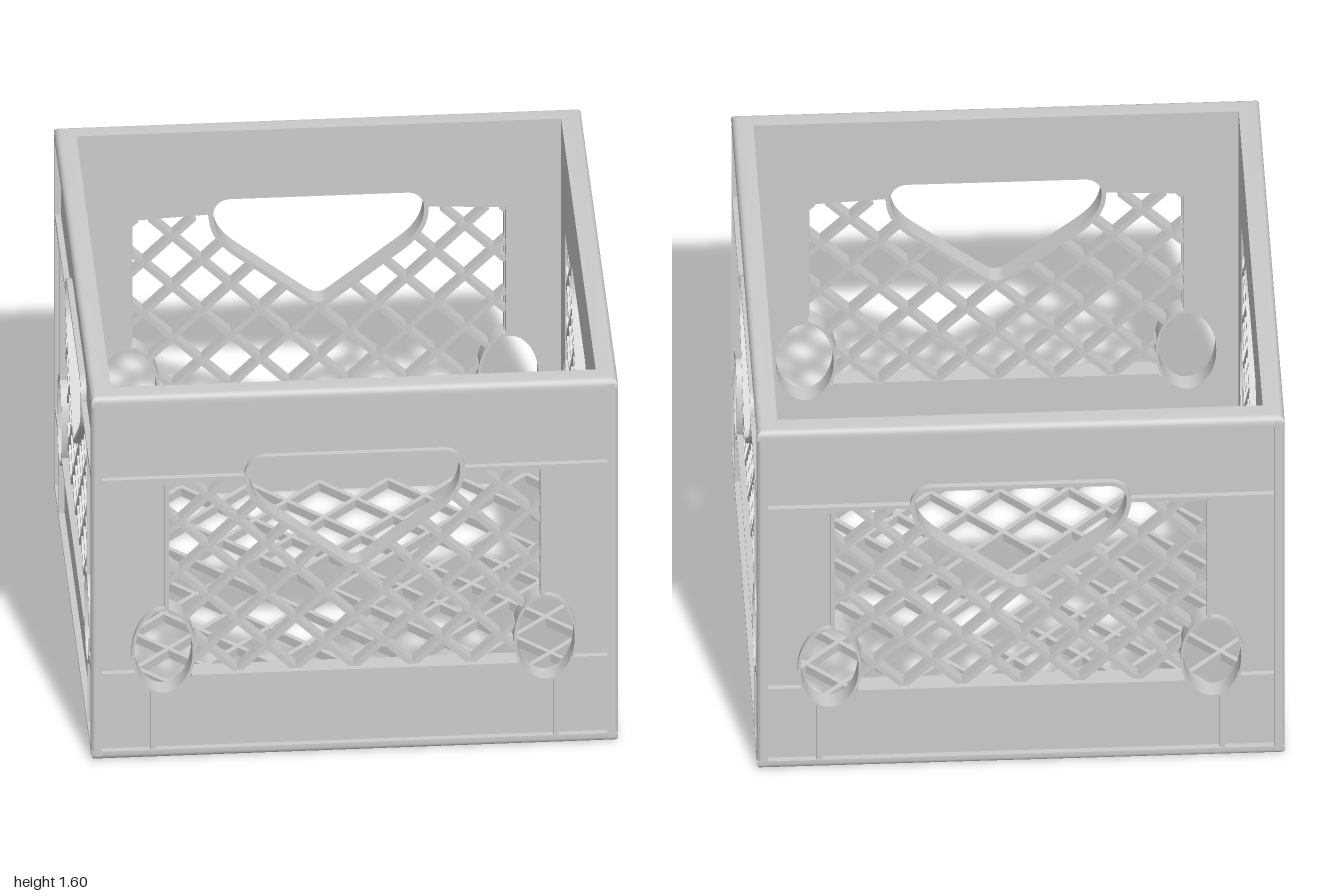
import * as THREE from 'three';
import { mergeGeometries, toCreasedNormals } from 'three/addons/utils/BufferGeometryUtils.js';

const H = 1.603, INNER = 0.92, PANEL = 0.976, OUTER = 0.998;
const ELL = { x: 0.725, y: 0.47, rx: 0.11, ry: 0.18 };
const WIN = { x: 0.71, y0: 0.358, y1: 1.22 };
const material = new THREE.MeshStandardMaterial({ color: 0xcccccc });

function add(parent, geometry, name) {
  const mesh = new THREE.Mesh(geometry, material);
  mesh.name = name;
  parent.add(mesh);
}

// Extrudes a counter-clockwise shape from depth z0 to z1
function slab(shape, z0, z1) {
  const geo = new THREE.ExtrudeGeometry(shape, { depth: z1 - z0, bevelEnabled: false, curveSegments: 32 });
  return toCreasedNormals(geo.translate(0, 0, z0), 0.5);
}

function box(x0, x1, y0, y1, z0 = PANEL - 0.02, z1 = OUTER) {
  return new THREE.BoxGeometry(x1 - x0, y1 - y0, z1 - z0)
    .translate((x0 + x1) / 2, (y0 + y1) / 2, (z0 + z1) / 2);
}

// Hand hole outline, clockwise from the top left
function handlePoints() {
  const p = new THREE.Path();
  p.moveTo(-0.335, 1.3);
  p.lineTo(0.335, 1.3);
  p.bezierCurveTo(0.375, 1.3, 0.4, 1.27, 0.4, 1.235);
  p.bezierCurveTo(0.4, 1.16, 0.37, 1.11, 0.3, 1.055);
  p.lineTo(0.04, 0.848);
  p.quadraticCurveTo(0, 0.816, -0.04, 0.848);
  p.lineTo(-0.3, 1.055);
  p.bezierCurveTo(-0.37, 1.11, -0.4, 1.16, -0.4, 1.235);
  p.bezierCurveTo(-0.4, 1.27, -0.375, 1.3, -0.335, 1.3);
  const pts = p.getPoints(10);
  pts.pop();
  return pts;
}

// Moves a clockwise outline outwards
function offset(pts, d) {
  return pts.map((p, i) => {
    const a = pts[(i + pts.length - 1) % pts.length], b = pts[(i + 1) % pts.length];
    const t = p.clone().sub(a).normalize().add(b.clone().sub(p).normalize()).normalize();
    return new THREE.Vector2(p.x - t.y * d, p.y + t.x * d);
  });
}

function contains(poly, x, y) {
  let inside = false;
  poly.forEach((a, i) => {
    const b = poly[(i + 1) % poly.length];
    if ((a.y > y) !== (b.y > y) && x < a.x + (b.x - a.x) * (y - a.y) / (b.y - a.y)) inside = !inside;
  });
  return inside;
}

// Diagonal bars through the nodes (0, nodeY + k * pitch), cut to the area where test is true
function lattice(pitch, nodeY, width, z0, z1, test) {
  const bars = [], step = 0.004;
  for (const s of [1, -1]) {
    for (let k = -12; k <= 12; k++) {
      let start = null;
      for (let x = -1; x <= 1; x += step) {
        const y = nodeY + k * pitch + s * x;
        const inside = test(x, y);
        if (inside && start === null) start = x;
        if (!inside && start !== null) {
          const length = (x - start) * Math.SQRT2, mid = (x + start) / 2;
          if (length > 0.02) {
            bars.push(new THREE.BoxGeometry(length, width, z1 - z0)
              .rotateZ(s * Math.PI / 4)
              .translate(mid, nodeY + k * pitch + s * mid, (z0 + z1) / 2));
          }
          start = null;
        }
      }
    }
  }
  return mergeGeometries(bars);
}

// Square ring with mitred corners, its profile given as [half width, height]
function squareRing(profile) {
  const pts = profile.map(([r, y]) => new THREE.Vector2(r * Math.SQRT2, y));
  return toCreasedNormals(new THREE.LatheGeometry(pts, 4, Math.PI / 4), 0.6);
}

function createWall() {
  const wall = new THREE.Group();
  const hole = handlePoints(), ringEdge = offset(hole, 0.018);

  // Sheet with one opening for the window, hand hole and corner ovals
  const sheet = new THREE.Shape();
  sheet.moveTo(-0.965, 0.01).lineTo(0.965, 0.01).lineTo(0.965, H - 0.02).lineTo(-0.965, H - 0.02);
  const opening = new THREE.Path();
  const rx = ELL.rx + 0.005, ry = ELL.ry + 0.005;
  opening.moveTo(-0.631, 0.355);
  opening.lineTo(0.631, 0.355);
  opening.absellipse(ELL.x, ELL.y, rx, ry, -2.47, 1.696, false);
  opening.lineTo(WIN.x, WIN.y1);
  ringEdge.filter(p => p.y > WIN.y1)
    .sort((a, b) => Math.atan2(a.y - 1.1, a.x) - Math.atan2(b.y - 1.1, b.x))
    .forEach(p => opening.lineTo(p.x, p.y));
  opening.lineTo(-WIN.x, WIN.y1);
  opening.absellipse(-ELL.x, ELL.y, rx, ry, Math.PI - 1.696, Math.PI + 2.47, false);
  sheet.holes.push(opening);
  add(wall, slab(sheet, INNER, PANEL), 'wallPanel');

  // Collar around the hand hole
  const ring = new THREE.Shape([...ringEdge].reverse());
  ring.holes.push(new THREE.Path(hole));
  add(wall, slab(ring, INNER, OUTER), 'handleCollar');

  // Collars around the corner ovals
  for (const side of [-1, 1]) {
    const oval = new THREE.Shape();
    oval.absellipse(side * ELL.x, ELL.y, ELL.rx + 0.011, ELL.ry + 0.011, 0, Math.PI * 2);
    const cut = new THREE.Path();
    cut.absellipse(side * ELL.x, ELL.y, ELL.rx, ELL.ry, 0, Math.PI * 2);
    oval.holes.push(cut);
    add(wall, slab(oval, INNER, OUTER), 'ovalCollar');
  }

  // Raised ribs, mirrored left and right
  const ribs = [box(-0.62, 0.62, 0.35, 0.364, INNER)];
  for (const [x0, x1, y0, y1] of [
    [0.41, 0.722, 1.22, 1.237], [0.705, 0.97, 1.21, 1.237], [0.705, 0.722, 0.65, 1.222],
    [0.82, 0.97, 0.357, 0.382], [0.754, 0.776, 0.03, 0.295],
  ]) ribs.push(box(x0, x1, y0, y1), box(-x1, -x0, y0, y1));
  add(wall, mergeGeometries(ribs), 'wallRibs');

  // Diagonal grille
  const cutout = offset(hole, 0.012);
  const inWindow = (x, y) => Math.abs(x) < WIN.x && y > WIN.y0 && y < WIN.y1 &&
    ((Math.abs(x) - ELL.x) / (ELL.rx + 0.01)) ** 2 + ((y - ELL.y) / (ELL.ry + 0.01)) ** 2 > 1 &&
    !contains(cutout, x, y);
  add(wall, lattice(0.222, 0.358, 0.021, INNER + 0.003, PANEL, inWindow), 'wallGrille');

  // Corner post with a rounded outer edge
  const post = new THREE.Shape();
  post.moveTo(0.96, -0.96).lineTo(0.96, -1).lineTo(0.982, -1);
  post.absarc(0.982, -0.982, 0.018, -Math.PI / 2, 0, false);
  post.lineTo(1, -0.96);
  add(wall, slab(post, 0.02, H - 0.02).rotateX(-Math.PI / 2), 'cornerPost');
  return wall;
}

export function createModel() {
  const crate = new THREE.Group();
  crate.name = 'crate';
  const wall = createWall();
  ['frontWall', 'leftWall', 'backWall', 'rightWall'].forEach((name, i) => {
    const w = wall.clone();
    w.name = name;
    w.rotation.y = i * Math.PI / 2;
    crate.add(w);
  });

  // Top and bottom rims, rounded on the outside
  const r = 0.025;
  const arc = [0, 1, 2, 3, 4].map(i => i * Math.PI / 8)
    .map(a => [1 - r + r * Math.cos(a), H - r + r * Math.sin(a)]);
  const topProfile = [[0.95, H - 0.04], [1, H - 0.04], ...arc, [INNER, H], [INNER, H - 0.04]];
  add(crate, squareRing(topProfile), 'topRim');
  add(crate, squareRing(topProfile.map(([x, y]) => [x, H - y]).reverse()), 'bottomRim');

  // Floor grille
  const floor = lattice(0.262, 0.131, 0.019, 0.005, 0.04,
    (x, y) => Math.abs(x) < INNER + 0.01 && Math.abs(y) < INNER + 0.01);
  add(crate, floor.rotateX(-Math.PI / 2), 'floorGrille');
  return crate;
}
